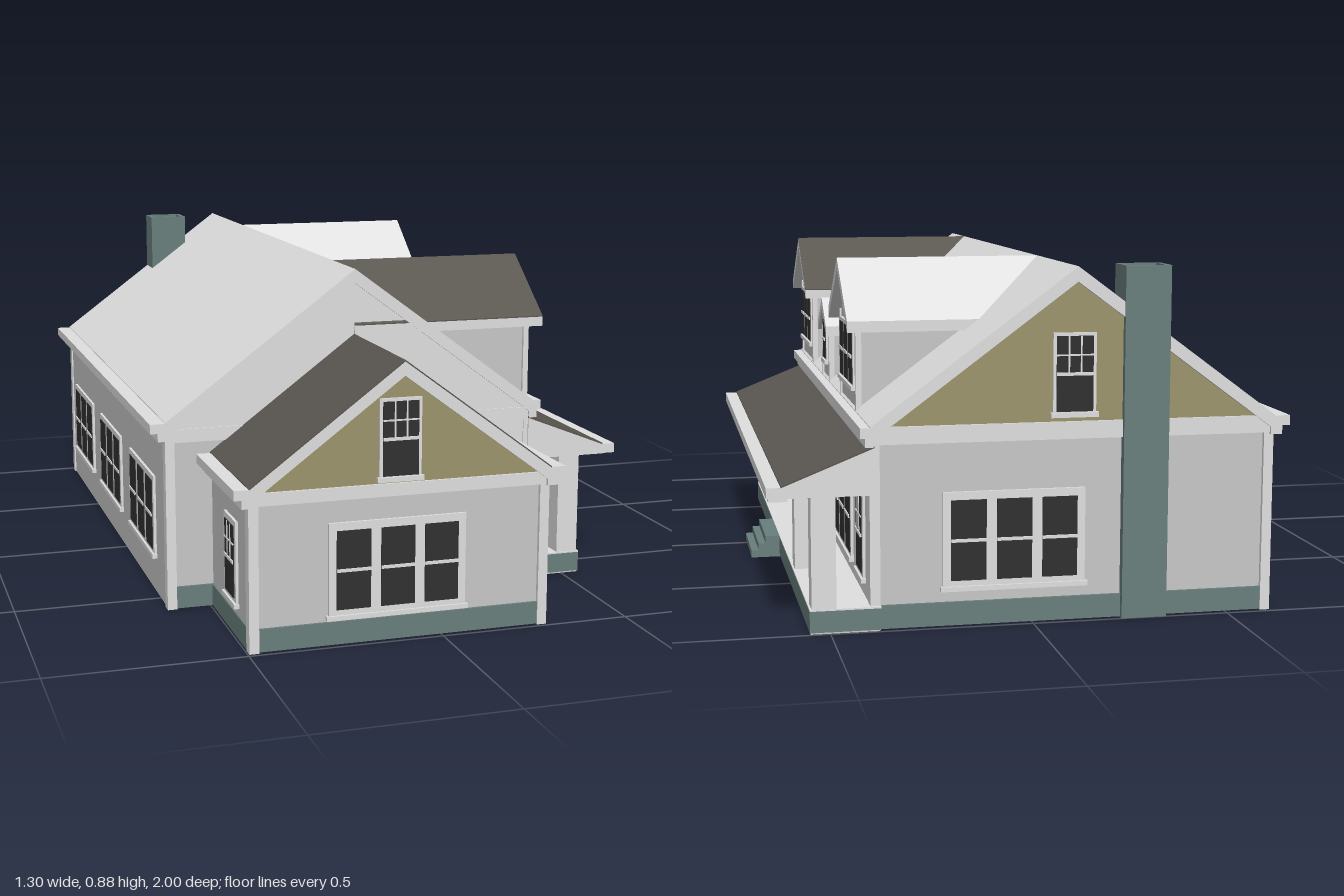
import * as THREE from 'three';

const mat = (name, color) => {
  const m = new THREE.MeshStandardMaterial({ color });
  m.name = name;
  return m;
};

export function createModel() {
  const trim = mat('white trim', 0xe0e0e0);
  const wall = mat('grey siding', 0xc8c8c8);
  const brown = mat('brown shingles', 0x5b5751);
  const teal = mat('teal masonry', 0x69807d);
  const olive = mat('olive gable', 0x9d956e);
  const glass = mat('dark glass', 0x313131);

  const house = new THREE.Group();
  house.name = 'house';
  const RIDGE_X = -0.107;

  const add = (parent, name, geometry, material) => {
    const m = new THREE.Mesh(geometry, material);
    m.name = name;
    parent.add(m);
    return m;
  };
  // Box given by its limits on each axis
  const box = (parent, name, material, x0, x1, y0, y1, z0, z1) => {
    const m = add(parent, name, new THREE.BoxGeometry(x1 - x0, y1 - y0, z1 - z0), material);
    m.position.set((x0 + x1) / 2, (y0 + y1) / 2, (z0 + z1) / 2);
    return m;
  };
  // Outline in x, y pulled from z0 to z1
  const prism = (parent, name, material, pts, z0, z1) => {
    const s = new THREE.Shape(pts.map(p => new THREE.Vector2(p[0], p[1])));
    const g = new THREE.ExtrudeGeometry(s, { depth: z1 - z0, bevelEnabled: false });
    g.translate(0, 0, z0);
    return add(parent, name, g, material);
  };
  const group = (name, x, y, z, turn = 0) => {
    const g = new THREE.Group();
    g.name = name;
    g.position.set(x, y, z);
    g.rotation.y = turn;
    house.add(g);
    return g;
  };
  // Two sloping slabs meeting at a ridge
  const roof = (parent, name, material, h, eave, ridge, t, z0, z1) => prism(parent, name, material,
    [[-h, eave - t], [0, ridge - t], [h, eave - t], [h, eave], [0, ridge], [-h, eave]], z0, z1);
  // Walls with a pointed top
  const gableBody = (parent, name, material, h, base, eave, ridge, z0, z1) => prism(parent, name, material,
    [[-h, base], [h, base], [h, eave], [0, ridge], [-h, eave]], z0, z1);
  const triangle = (parent, name, material, h, base, top, z0, z1) =>
    prism(parent, name, material, [[-h, base], [h, base], [0, top]], z0, z1);

  // Row of sash windows facing local +z, centred on the group origin
  const windows = (name, x, y, z, turn, n, w, h, step, muntins = false, pad = 0.015) => {
    const g = group(name, x, y, z, turn);
    const W = (n - 1) * step + w;
    box(g, 'casing', trim, -W / 2 - pad, W / 2 + pad, -h / 2 - pad, h / 2 + pad, -0.01, 0.006);
    box(g, 'sill', trim, -W / 2 - pad - 0.006, W / 2 + pad + 0.006, -h / 2 - pad - 0.006, -h / 2 - pad + 0.006, -0.01, 0.012);
    for (let i = 0; i < n; i++) {
      const c = (i - (n - 1) / 2) * step;
      box(g, 'pane', glass, c - w / 2, c + w / 2, -h / 2, h / 2, 0.003, 0.008);
      box(g, 'meetingRail', trim, c - w / 2, c + w / 2, -0.004, 0.004, 0.003, 0.011);
      if (!muntins) continue;
      for (const k of [-1, 1])
        box(g, 'muntin', trim, c + k * w / 6 - 0.002, c + k * w / 6 + 0.002, 0, h / 2, 0.003, 0.01);
      box(g, 'muntin', trim, c - w / 2, c + w / 2, h / 4 - 0.002, h / 4 + 0.002, 0.003, 0.01);
    }
    return g;
  };
  const RIGHT = Math.PI / 2, LEFT = -Math.PI / 2, BACK = Math.PI;

  // Gutter and stepped soffit along both eaves
  const gutters = (parent, h, top, z0, z1, outL, outR) => {
    for (const [s, out] of [[-1, outL], [1, outR]]) {
      const a = s * (h - 0.01), b = s * (h + out), c = s * (h + out * 0.5);
      box(parent, 'gutter', trim, Math.min(a, b), Math.max(a, b), top - 0.025, top, z0, z1);
      box(parent, 'soffit', trim, Math.min(a, c), Math.max(a, c), top - 0.047, top - 0.025, z0, z1);
    }
  };

  // Main house
  const main = group('mainHouse', RIDGE_X, 0, 0);
  gableBody(main, 'mainWalls', wall, 0.505, 0, 0.47, 0.845, -0.978, 0.598);
  roof(main, 'mainRoof', trim, 0.508, 0.5, 0.876, 0.037, -0.997, 0.61);
  gutters(main, 0.508, 0.498, -0.997, 0.61, 0.04, 0.024);
  triangle(main, 'frontGable', trim, 0.49, 0.478, 0.839, 0.595, 0.602);
  triangle(main, 'backGable', olive, 0.46, 0.498, 0.838, -0.984, -0.976);
  box(main, 'frontFrieze', trim, -0.505, 0.505, 0.445, 0.48, 0.59, 0.605);
  box(main, 'backFrieze', trim, -0.505, 0.505, 0.455, 0.498, -0.99, -0.97);
  box(main, 'porchWall', trim, 0.49, 0.508, 0.06, 0.47, -0.978, 0.6);
  box(main, 'porchFrontWall', trim, 0.39, 0.508, 0, 0.46, 0.59, 0.603);
  for (const [z0, z1] of [[-0.988, -0.955], [0.575, 0.606]])
    for (const s of [-1, 1])
      box(main, 'cornerBoard', trim, s * 0.4965 - 0.0125, s * 0.4965 + 0.0125, 0, 0.46, z0, z1);
  box(main, 'backFoundation', teal, -0.484, 0.484, 0.002, 0.06, -0.986, -0.97);
  box(main, 'frontFoundation', teal, -0.484, -0.38, 0.002, 0.06, 0.59, 0.604);

  // Front wing
  const wing = group('frontWing', RIDGE_X, 0, 0);
  gableBody(wing, 'wingWalls', wall, 0.385, 0, 0.38, 0.67, 0.58, 0.98);
  roof(wing, 'wingRake', trim, 0.39, 0.411, 0.701, 0.035, 0.6, 1);
  roof(wing, 'wingShingles', brown, 0.39, 0.415, 0.705, 0.004, 0.6, 1);
  gutters(wing, 0.39, 0.413, 0.605, 1, 0.037, 0.037);
  triangle(wing, 'wingGable', olive, 0.362, 0.398, 0.668, 0.978, 0.986);
  box(wing, 'wingFrieze', trim, -0.388, 0.388, 0.368, 0.4, 0.97, 0.992);
  for (const s of [-1, 1]) {
    box(wing, 'wingCornerBoard', trim, s * 0.377 - 0.0125, s * 0.377 + 0.0125, 0, 0.38, 0.96, 0.99);
    box(wing, 'wingSideFoundation', teal, s * 0.385 - 0.004, s * 0.385 + 0.004, 0.002, 0.06, 0.6, 0.96);
  }
  box(wing, 'wingFoundation', teal, -0.365, 0.365, 0.002, 0.06, 0.97, 0.987);

  // Porch
  const porch = group('porch', 0, 0, 0);
  box(porch, 'porchUnderside', wall, 0.38, 0.548, 0, 0.004, -0.995, 0.608);
  box(porch, 'porchBase', teal, 0.376, 0.55, 0.004, 0.057, -0.997, 0.61);
  box(porch, 'porchFloor', trim, 0.376, 0.55, 0.057, 0.061, -0.997, 0.61);
  [[0.59, 0.06], [0.61, 0.04], [0.63, 0.02]].forEach(([x, y]) =>
    box(porch, 'step', teal, 0.53, x, 0, y, -0.19, 0.04));
  prism(porch, 'porchCeiling', trim, [[0.39, 0.335], [0.615, 0.335], [0.615, 0.361], [0.39, 0.45]], -0.997, 0.61);
  prism(porch, 'porchShingles', brown, [[0.39, 0.45], [0.615, 0.361], [0.615, 0.365], [0.39, 0.454]], -0.997, 0.61);
  box(porch, 'porchGutter', trim, 0.61, 0.65, 0.336, 0.362, -0.997, 0.61);
  for (const z of [0.578, 0.295, -0.56, -0.967])
    box(porch, 'column', trim, 0.485, 0.545, 0.06, 0.336, z - 0.029, z + 0.029);

  // Dormers looking over the porch
  const dormer = (z, h, wallH, ridge, start, front, shingles) => {
    const g = group('dormer', 0, 0, z, RIGHT);
    const eave = ridge - h * 0.745;
    gableBody(g, 'dormerWalls', wall, wallH, 0.47, ridge - 0.02 - wallH * 0.745, ridge - 0.02, start + 0.01, 0.395);
    roof(g, 'dormerRake', trim, h, eave - 0.003, ridge - 0.003, 0.025, start, front);
    roof(g, 'dormerRoof', shingles, h, eave, ridge, 0.003, start, front);
    for (const s of [-1, 1])
      box(g, 'dormerCornerBoard', trim, s * wallH - 0.008, s * wallH + 0.008, 0.49, ridge - 0.03 - wallH * 0.745, 0.385, 0.4);
  };
  dormer(0.412, 0.196, 0.155, 0.876, RIDGE_X, 0.425, brown);
  dormer(-0.575, 0.196, 0.155, 0.876, RIDGE_X, 0.425, trim);
  dormer(-0.085, 0.098, 0.08, 0.73, 0.09, 0.41, trim);
  for (const z of [0.418, -0.57])
    windows('dormerWindows', 0.396, 0.632, z, RIGHT, 3, 0.064, 0.14, 0.088, false, 0.01);
  windows('smallDormerWindow', 0.396, 0.612, -0.083, RIGHT, 1, 0.054, 0.11, 0, false, 0.01);

  // Windows of the wing, porch, left side and back
  windows('wingFrontWindows', RIDGE_X - 0.01, 0.19, 0.981, 0, 3, 0.088, 0.2, 0.114, false, 0.02);
  windows('wingGableWindow', RIDGE_X - 0.007, 0.511, 0.986, 0, 1, 0.092, 0.185, 0, true, 0.008);
  windows('wingSideWindow', 0.279, 0.192, 0.81, RIGHT, 1, 0.09, 0.185, 0, true);
  windows('wingSideWindow', -0.493, 0.192, 0.81, LEFT, 1, 0.09, 0.185, 0, true);
  for (const z of [0.318, -0.507])
    windows('porchWindows', 0.402, 0.213, z, RIGHT, 3, 0.085, 0.19, 0.115);
  windows('porchEndWindow', 0.402, 0.213, -0.84, RIGHT, 1, 0.095, 0.19, 0, true);
  for (const z of [-0.7, -0.21, 0.28])
    windows('leftWindows', -0.613, 0.213, z, LEFT, 3, 0.085, 0.19, 0.115);
  windows('backWindows', 0.045, 0.213, -0.979, BACK, 3, 0.088, 0.2, 0.114, false, 0.02);
  windows('backGableWindow', RIDGE_X + 0.005, 0.615, -0.985, BACK, 1, 0.092, 0.185, 0, true, 0.008);

  // Front door
  const door = group('frontDoor', 0.402, 0.06, -0.08, RIGHT);
  box(door, 'doorFrame', trim, -0.062, 0.062, 0, 0.265, -0.01, 0.008);
  box(door, 'doorLeaf', wall, -0.05, 0.05, 0, 0.255, 0, 0.01);
  box(door, 'doorGlass', glass, -0.041, 0.041, 0.135, 0.245, 0.008, 0.012);
  for (const s of [-1, 1]) {
    box(door, 'doorPanel', glass, s * 0.022 - 0.016, s * 0.022 + 0.016, 0.035, 0.115, 0.008, 0.012);
    box(door, 'doorPanelField', trim, s * 0.022 - 0.012, s * 0.022 + 0.012, 0.039, 0.111, 0.01, 0.014);
  }

  // Hollow chimney on the back wall
  const rect = (S, x0, x1, y0, y1) => new S([[x0, y0], [x1, y0], [x1, y1], [x0, y1]].map(p => new THREE.Vector2(...p)));
  const stack = rect(THREE.Shape, -0.34, -0.225, 0.905, 1);
  stack.holes.push(rect(THREE.Path, -0.327, -0.238, 0.917, 0.988));
  const stackGeo = new THREE.ExtrudeGeometry(stack, { depth: 0.876, bevelEnabled: false });
  stackGeo.rotateX(-Math.PI / 2);
  add(house, 'chimney', stackGeo, teal);
  box(house, 'flue', glass, -0.33, -0.235, 0.8, 0.808, -0.99, -0.915);

  return house;
}
